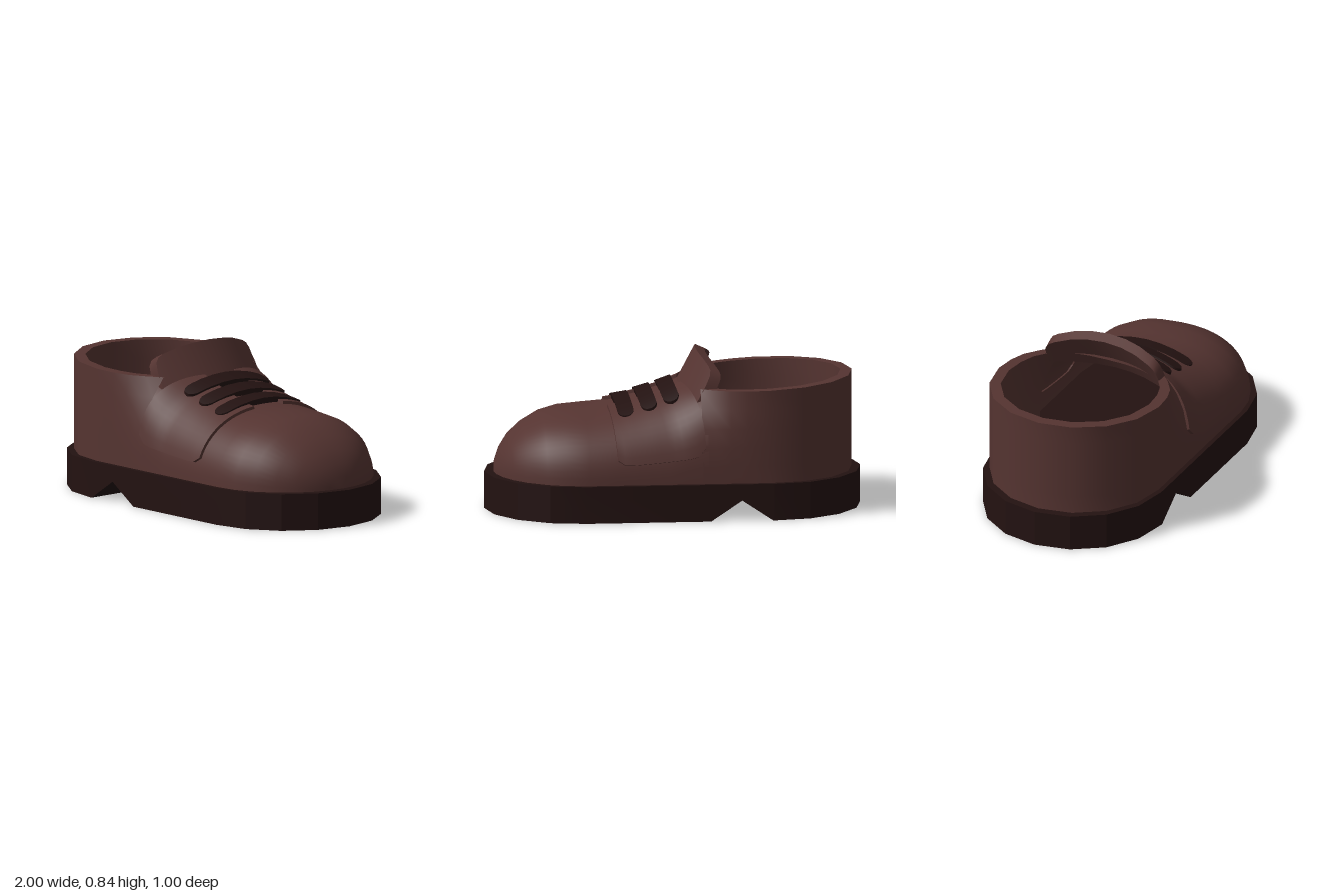
import * as THREE from 'three';
import { toCreasedNormals } from 'three/addons/utils/BufferGeometryUtils.js';

const leather = new THREE.MeshStandardMaterial({ color: 0x553431, side: THREE.DoubleSide });
const rubber = new THREE.MeshStandardMaterial({ color: 0x231211 });
const { lerp, smoothstep } = THREE.MathUtils;

// Skin over rows of points; closed rows become a capped solid
function skin(rows, closed, crease) {
  const m = rows[0].length, last = (rows.length - 1) * m, index = [];
  for (let i = 0; i < rows.length - 1; i++) {
    for (let j = 0; j < (closed ? m : m - 1); j++) {
      const a = i * m + j, d = i * m + (j + 1) % m;
      index.push(a, a + m, d, a + m, d + m, d);
    }
  }
  if (closed) {
    for (let j = 1; j < m - 1; j++) {
      index.push(0, j, j + 1, last, last + j + 1, last + j);
    }
  }
  const g = new THREE.BufferGeometry();
  g.setAttribute('position', new THREE.Float32BufferAttribute(rows.flat(2), 3));
  g.setIndex(index);
  return toCreasedNormals(g, crease);
}

// Piecewise linear lookup in [position, value] pairs
function sample(table, x) {
  let i = 0;
  while (i < table.length - 2 && x > table[i + 1][0]) i++;
  const [a, b] = [table[i], table[i + 1]];
  return lerp(a[1], b[1], Math.min(1, Math.max(0, (x - a[0]) / (b[0] - a[0]))));
}

// Half width of a round-ended outline of radius r, arcs centred at x = +-r
const halfWidth = (x, r) => Math.sqrt(Math.max(0, r * r - Math.max(0, Math.abs(x) - r) ** 2));

// Vamp: rounded sections whose crown follows the instep and toe
const R = 0.475;
const crown = [[-0.15, 0.7], [-0.04, 0.67], [0.05, 0.635], [0.2, 0.59], [0.33, 0.557], [0.48, 0.545],
  [0.6, 0.535], [0.7, 0.508], [0.8, 0.452], [0.87, 0.39], [0.915, 0.325], [0.941, 0.26], [0.95, 0.19]];
function vampPoint(x, a, lift = 0) {
  const n = lerp(3, 2.3, smoothstep(x, -0.15, 0.05));
  const c = Math.cos(a), s = Math.sin(a);
  return [x, 0.19 + (sample(crown, x) + lift - 0.19) * Math.pow(Math.max(0, s), 2 / n),
    Math.sign(c) * (halfWidth(x, R) + lift) * Math.pow(Math.abs(c), 2 / n)];
}
function vampGeometry() {
  const rows = crown.map(([x]) =>
    Array.from({ length: 33 }, (_, j) => vampPoint(x, Math.PI * j / 32)));
  return skin(rows, false, 0.9);
}

// Heel quarter: thick wall round the back, leaning inwards beside the tongue
function heelGeometry() {
  const lean = [[-0.48, 0], [-0.36, 0.012], [-0.27, 0.04], [-0.19, 0.095], [-0.12, 0.155]];
  const path = [];
  for (const [x, k] of [...lean].reverse()) path.push([x, -R, 0, 1, k]);
  for (let i = 1; i < 8; i++) {
    const a = Math.PI * i / 8;
    path.push([-0.48 - R * Math.sin(a), -R * Math.cos(a), Math.sin(a), Math.cos(a), 0]);
  }
  for (const [x, k] of lean) path.push([x, R, 0, -1, k]);
  const rows = path.map(([x, z, dx, dz, k]) => {
    const top = 0.713 - 0.04 * (x + 0.955);
    const point = (t, inset) => {
      const d = inset + k * t ** 3;
      return [x + dx * d, lerp(0.19, top, t), z + dz * d];
    };
    const ts = [0, 0.2, 0.4, 0.6, 0.8, 1];
    return [...ts.map(t => point(t, 0)), ...ts.reverse().map(t => point(t, 0.06))];
  });
  return skin(rows, false, 0.7);
}

// Lace flap: raised panel lying on one side of the vamp
function flapGeometry(side) {
  const rows = [], nu = 14, nv = 14;
  for (let i = 0; i <= nu; i++) {
    const row = [];
    for (let j = 0; j <= nv; j++) {
      const border = i === 0 || j === 0 || i === nu || j === nv;
      const u = Math.min(1, Math.max(0, (i - 1) / (nu - 2)));
      const v = Math.min(1, Math.max(0, (j - 1) / (nv - 2)));
      const x = lerp(-0.135 + 0.1 * v ** 1.5, 0.33 + 0.025 * v, u);
      const n = lerp(3, 2.3, smoothstep(x, -0.15, 0.05));
      const low = lerp(0.355, 0.295, Math.sqrt(u)) + 0.03 * Math.abs(2 * u - 1) ** 12;
      const a0 = Math.asin(((low - 0.19) / (sample(crown, x) - 0.19)) ** (n / 2));
      const a1 = Math.acos((0.1 / R) ** (n / 2));
      const p = vampPoint(x, lerp(a0, a1, v), border ? -0.008 : 0.016);
      row.push([p[0], p[1], p[2] * side]);
    }
    rows.push(side > 0 ? row : row.reverse());
  }
  return skin(rows, false, 0.7);
}

// Tongue: curved leaning slab with rounded top corners
function tongueGeometry() {
  const half = [[0, 0.843], [0.1, 0.837], [0.19, 0.823], [0.28, 0.795], [0.31, 0.778], [0.328, 0.75], [0.336, 0.7]];
  const profile = [...half.slice(1).reverse().map(([z, y]) => [-z, y]), ...half];
  const rows = profile.map(([z, top]) => {
    const front = y => -0.12 + (0.84 - y) * 0.53 - 0.9 * z * z;
    const low = 0.61;
    return [[front(top) - 0.055, top - 0.025, z], [front(top), top, z],
      [front(low), low, z], [front(low) - 0.06, low, z]];
  });
  return skin(rows, true, 0.6);
}

// Lace: bowed strap across the instep with rounded ends
function laceGeometry() {
  const half = [[0, 0.043], [0.08, 0.043], [0.16, 0.043], [0.22, 0.043], [0.25, 0.042], [0.27, 0.034], [0.282, 0.023], [0.288, 0.01]];
  const profile = [...half.slice(1).reverse().map(([z, w]) => [-z, w]), ...half];
  const rows = profile.map(([z, w]) => {
    const y = -0.062 * (z / 0.288) ** 2;
    return [[-w, y, z], [w, y, z], [w, y - 0.06, z], [-w, y - 0.06, z]];
  });
  return skin(rows, true, 0.6);
}

// Sole: round-ended slab with a wedge cut before the heel
function soleGeometry() {
  const xs = [-0.49, -0.325, -0.16];
  for (let i = 0; i <= 4; i++) {
    const x = 0.5 + 0.5 * Math.sin(Math.PI * i / 8);
    xs.push(x, -x);
  }
  const notch = [[-0.49, 0], [-0.325, 0.11], [-0.16, 0]];
  const rows = xs.sort((a, b) => a - b).map(x => {
    const w = halfWidth(x, 0.5), low = sample(notch, x);
    return [[x, 0.197, w], [x, 0.197, -w], [x, low, -w], [x, low, w]];
  });
  return skin(rows, true, 0.3);
}

export function createModel() {
  const shoe = new THREE.Group();
  shoe.name = 'shoe';
  const add = (name, geometry, material) => {
    const mesh = new THREE.Mesh(geometry, material);
    mesh.name = name;
    shoe.add(mesh);
    return mesh;
  };
  add('sole', soleGeometry(), rubber);
  add('vamp', vampGeometry(), leather);
  add('heelQuarter', heelGeometry(), leather);
  add('tongue', tongueGeometry(), leather);
  add('leftFlap', flapGeometry(1), leather);
  add('rightFlap', flapGeometry(-1), leather);

  // Three laces stepping down the instep
  const lace = laceGeometry();
  [[0.045, 0.672], [0.16, 0.635], [0.277, 0.6]].forEach(([x, y], i) => {
    const mesh = add('lace' + (i + 1), lace, rubber);
    mesh.position.set(x, y, 0);
    mesh.rotation.z = [-0.34, -0.28, -0.16][i];
  });
  return shoe;
}
